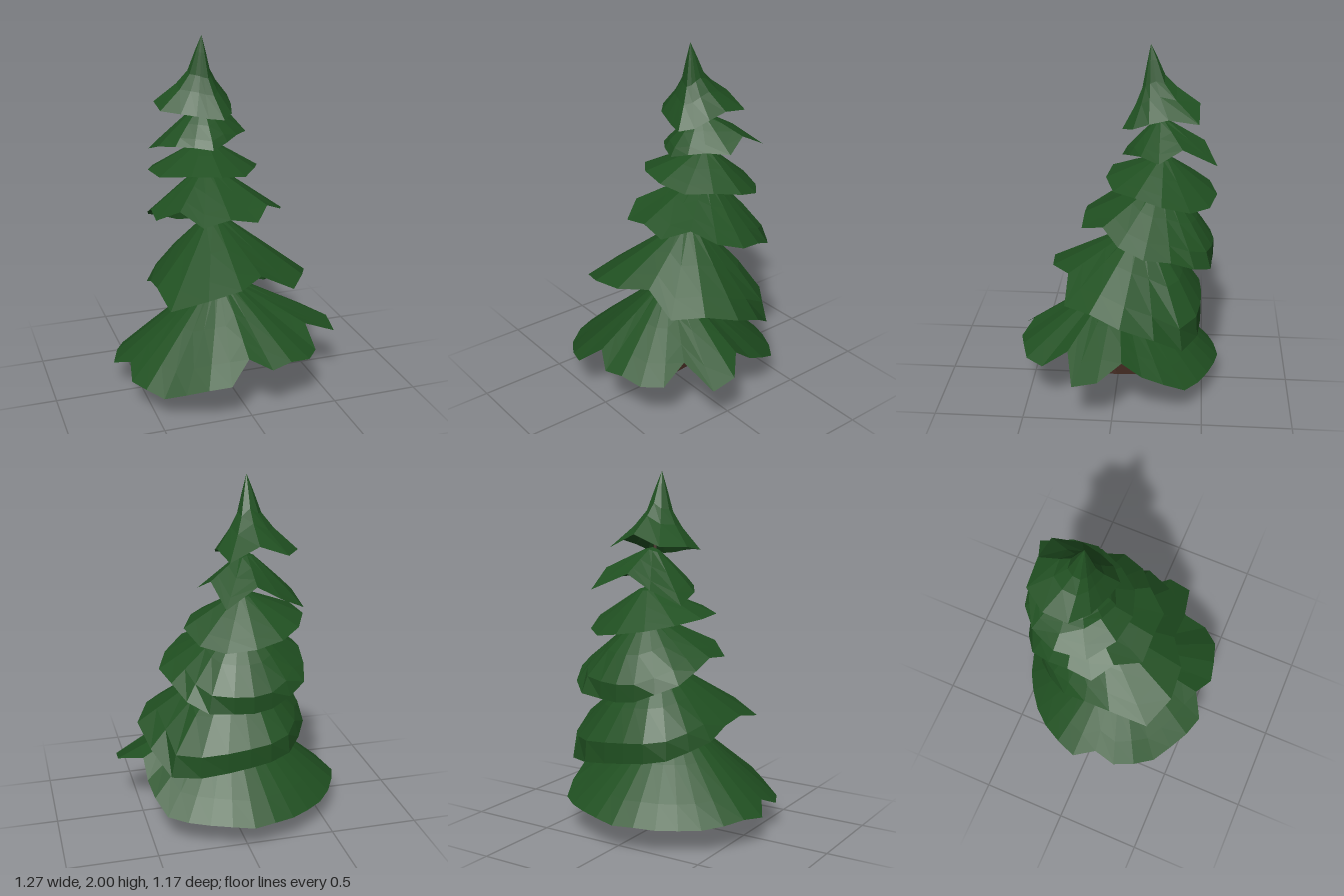
import * as THREE from 'three';

const needles = new THREE.MeshStandardMaterial({ color: 0x205021, flatShading: true, side: THREE.DoubleSide });
needles.name = 'needle green';
const bark = new THREE.MeshStandardMaterial({ color: 0x422a21, flatShading: true, side: THREE.DoubleSide });
bark.name = 'bark brown';

// Joins closed rings of equal length, listed from top to bottom, into a faceted skin
function loft(name, rings, material) {
  const pos = [];
  const tri = (a, b, c) => pos.push(...a, ...b, ...c);
  for (let r = 0; r < rings.length - 1; r++) {
    const up = rings[r], low = rings[r + 1], n = up.length;
    for (let i = 0; i < n; i++) {
      const j = (i + 1) % n;
      if (r > 0) tri(up[i], low[j], up[j]); // the first ring is a single point
      tri(up[i], low[i], low[j]);
    }
  }
  const g = new THREE.BufferGeometry();
  g.setAttribute('position', new THREE.Float32BufferAttribute(pos, 3));
  g.computeVertexNormals();
  const mesh = new THREE.Mesh(g, material);
  mesh.name = name;
  return mesh;
}

// Skirt profiles from apex to rim: [share of the drop, share of the way out
// where the bough is shallow, the same where it is steep]
const BOUGH = [[0, 0, 0], [0.08, 0.16, 0.2], [0.45, 0.5, 0.68], [0.78, 0.8, 1], [1, 1, 1]];
const CROWN = [[0, 0, 0], [0.22, 0.13, 0.13], [0.52, 0.29, 0.29], [0.72, 0.53, 0.53], [1, 1, 1]];

// A drooping skirt. Radii and rim heights are evenly spaced round the apex,
// from the front by way of +x; longer tips hang lower and notches sit higher.
function skirt(name, [ax, ay, az], radii, heights, profile = BOUGH) {
  const n = radii.length, m = heights.length;
  const rim = radii.map((r, i) => {
    const a = (i / n) * Math.PI * 2;
    const h = (i / n) * m, k = Math.floor(h);
    const level = THREE.MathUtils.lerp(heights[k], heights[(k + 1) % m], h - k);
    const around = (radii[(i + n - 1) % n] + radii[(i + 1) % n]) / 2;
    const drop = ay - level - (around - r) * 0.5;
    const steep = THREE.MathUtils.smoothstep(drop / r, 0.75, 1.45);
    return { x: r * Math.sin(a), z: r * Math.cos(a), drop, steep };
  });
  const rings = profile.map(([fall, shallowOut, steepOut]) => rim.map((p) => {
    const out = THREE.MathUtils.lerp(shallowOut, steepOut, p.steep);
    return [ax + p.x * out, ay - p.drop * fall, az + p.z * out];
  }));
  return loft(name, rings, needles);
}

// Leaning trunk with a blade-like foot
function makeTrunk() {
  const diamond = (x, y, z, w, d) => [[x, y, z + d], [x + w, y, z], [x, y, z - d], [x - w, y, z]];
  return loft('trunk', [
    diamond(-0.06, 1.85, -0.19, 0, 0),
    diamond(-0.05, 1.4, -0.24, 0.018, 0.018),
    diamond(-0.035, 0.97, -0.12, 0.03, 0.03),
    diamond(-0.02, 0.65, 0, 0.03, 0.04),
    diamond(-0.03, 0.4, 0.08, 0.045, 0.06),
    diamond(0.005, 0, 0.005, 0.01, 0.125),
    diamond(0.005, 0, 0.005, 0, 0),
  ], bark);
}

export function createModel() {
  const tree = new THREE.Group();
  tree.name = 'firTree';
  tree.add(
    makeTrunk(),
    skirt('bottomBoughs', [-0.02, 0.64, 0],
      [0.5, 0.57, 0.58, 0.61, 0.59, 0.5, 0.67, 0.65, 0.52, 0.54, 0.57, 0.6, 0.59, 0.58, 0.58,
        0.59, 0.58, 0.58, 0.58, 0.59, 0.6, 0.61, 0.63, 0.56, 0.61, 0.61, 0.61, 0.59, 0.59, 0.59],
      [0.31, 0.3, 0.36, 0.17, 0.15, 0.14, 0.18, 0.14]),
    skirt('lowerBoughs', [-0.02, 0.97, -0.14],
      [0.52, 0.44, 0.54, 0.53, 0.55, 0.51, 0.48, 0.42, 0.36,
        0.34, 0.35, 0.37, 0.37, 0.39, 0.4, 0.46, 0.6, 0.57],
      [0.71, 0.65, 0.61, 0.41, 0.43, 0.47, 0.53, 0.62, 0.65]),
    skirt('middleBoughs', [-0.02, 1.24, -0.24],
      [0.43, 0.46, 0.4, 0.43, 0.44, 0.4, 0.39, 0.37, 0.31,
        0.3, 0.3, 0.33, 0.36, 0.35, 0.36, 0.42, 0.39, 0.46],
      [1.03, 1.04, 0.97, 0.87, 0.8, 0.81, 0.92, 1.01, 1.05]),
    skirt('upperBoughs', [-0.03, 1.39, -0.25],
      [0.32, 0.31, 0.29, 0.32, 0.31, 0.3, 0.3, 0.3, 0.31, 0.34, 0.37, 0.34],
      [1.25, 1.22, 1.22, 1.13, 1.17, 1.2, 1.24, 1.27]),
    skirt('topBoughs', [-0.05, 1.6, -0.23],
      [0.21, 0.19, 0.2, 0.26, 0.25, 0.36, 0.24, 0.27, 0.32, 0.26, 0.22, 0.2],
      [1.39, 1.42, 1.46, 1.44, 1.35, 1.39]),
    skirt('crown', [-0.07, 2, -0.17],
      [0.13, 0.17, 0.17, 0.17, 0.21, 0.31, 0.27, 0.31, 0.28, 0.24, 0.17, 0.13],
      [1.55, 1.57, 1.62, 1.66, 1.62, 1.58], CROWN),
  );
  return tree;
}
